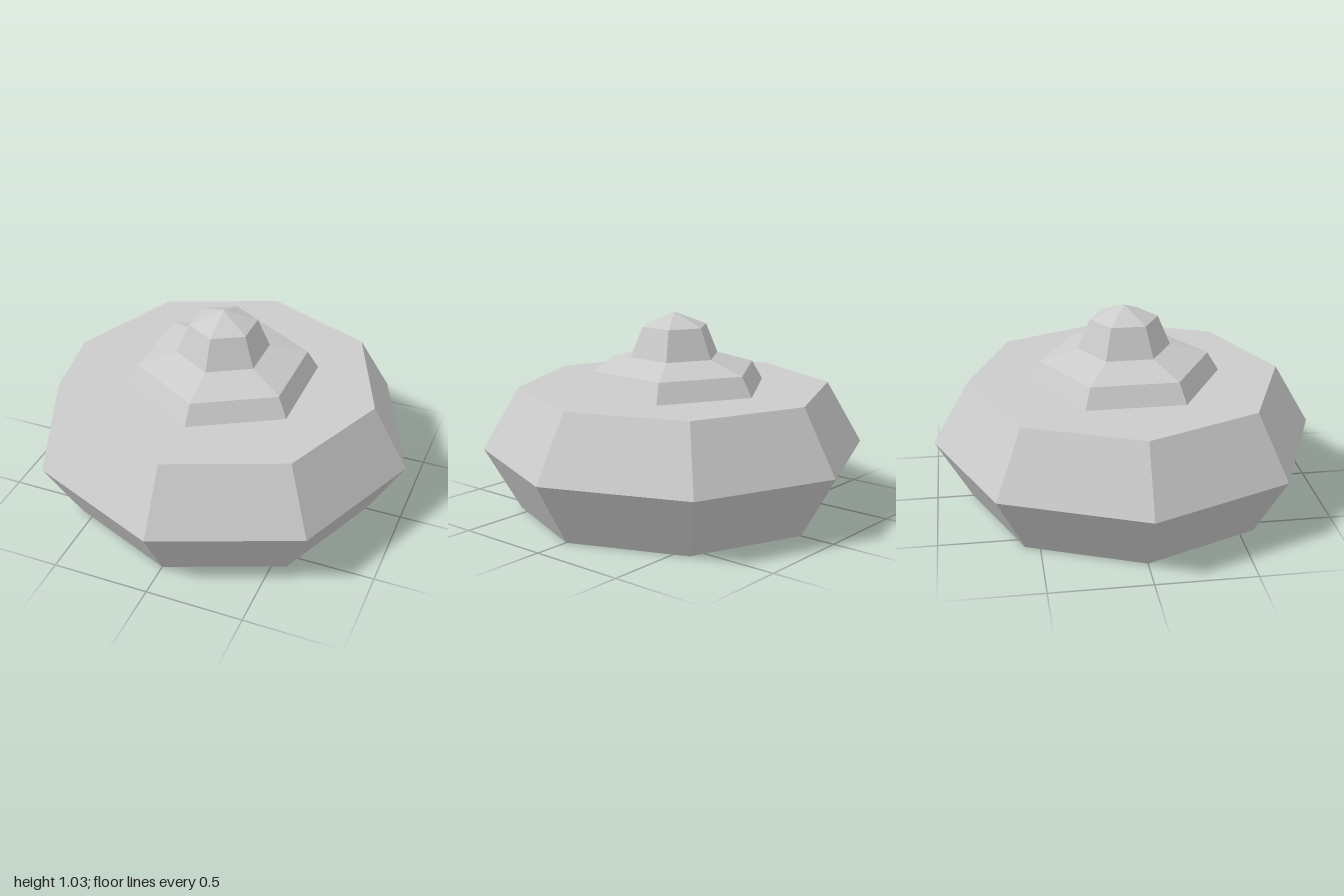
import * as THREE from 'three';

const SIDES = 6;

export function createModel() {
  const model = new THREE.Group();
  const material = new THREE.MeshStandardMaterial({ color: 0xcccccc, flatShading: true });

  const addPart = (name, geometry, y) => {
    const mesh = new THREE.Mesh(geometry, material);
    mesh.name = name;
    mesh.position.y = y;
    model.add(mesh);
  };

  // Eight-sided ring with a hexagonal section
  const tube = 0.375;
  const halfHeight = tube * Math.sin(Math.PI / 3);
  addPart('bodyRing', new THREE.TorusGeometry(1 - tube, tube, 6, 8).rotateX(-Math.PI / 2), halfHeight);

  // Stepped hexagonal cap with a pointed knob, seated on the ring
  const profile = [
    [0.5, 0], [0.44, 0.1], [0.24, 0.16], [0.175, 0.315], [0, 0.385],
  ].map(([r, y]) => new THREE.Vector2(r, y));
  addPart('steppedCap', new THREE.LatheGeometry(profile, SIDES), 2 * halfHeight);

  // Shallow point that plugs the hole from below
  const plugHeight = 0.13;
  addPart('bottomPlug',
    new THREE.CylinderGeometry(0.46, 0, plugHeight, SIDES, 1, false, Math.PI / 2),
    plugHeight / 2);

  return model;
}
